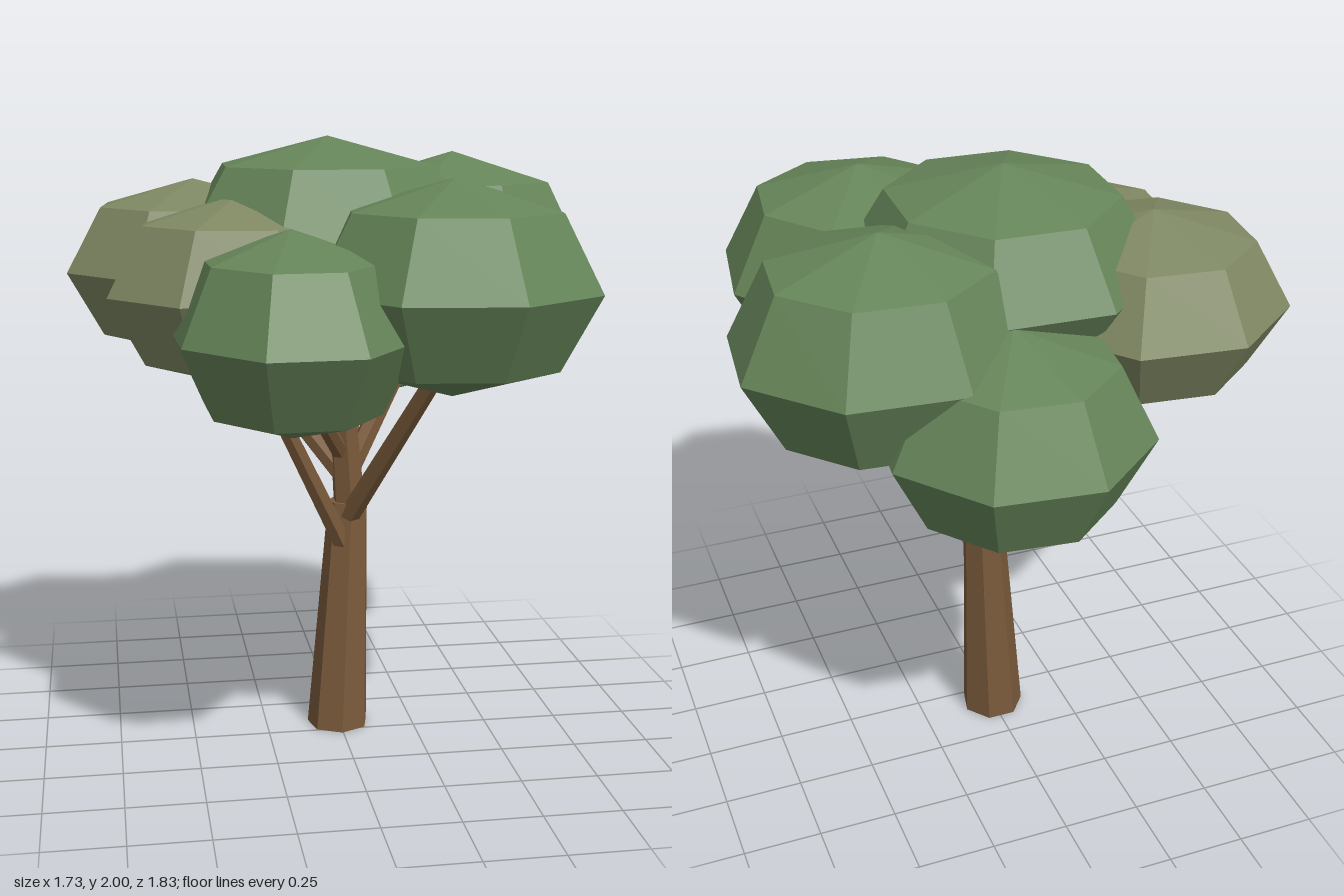
import * as THREE from 'three';

const bark = new THREE.MeshStandardMaterial({ color: 0x7a5a3b, flatShading: true });
const green = new THREE.MeshStandardMaterial({ color: 0x668559, flatShading: true });
const olive = new THREE.MeshStandardMaterial({ color: 0x7f8863, flatShading: true });

// Tapered limb running between two points
function limb(name, from, to, r0, r1, sides) {
  const a = new THREE.Vector3(...from), b = new THREE.Vector3(...to);
  const dir = b.clone().sub(a);
  const mesh = new THREE.Mesh(new THREE.CylinderGeometry(r1, r0, dir.length(), sides), bark);
  mesh.name = name;
  mesh.position.copy(a).add(b).multiplyScalar(0.5);
  mesh.quaternion.setFromUnitVectors(new THREE.Vector3(0, 1, 0), dir.normalize());
  return mesh;
}

// Faceted leaf clump: eight sides, four bands, turned about y then flattened
function clump(name, center, radii, turn, material) {
  const geo = new THREE.SphereGeometry(1, 8, 4);
  const pos = geo.attributes.position;
  for (let i = 0; i < pos.count; i++) {
    // fuller shoulders above and below the widest ring
    const k = Math.abs(Math.abs(pos.getY(i)) - 0.707) < 0.01 ? 1.03 : 1;
    pos.setXYZ(i, pos.getX(i) * k, pos.getY(i), pos.getZ(i) * k);
  }
  geo.rotateY(-THREE.MathUtils.degToRad(turn));
  geo.scale(...radii);
  geo.computeVertexNormals();
  const mesh = new THREE.Mesh(geo, material);
  mesh.name = name;
  mesh.position.set(...center);
  return mesh;
}

export function createModel() {
  const tree = new THREE.Group();
  tree.name = 'tree';

  // Trunk, leaning slightly, cut level with the ground
  const trunk = new THREE.CylinderGeometry(0.068, 0.105, 0.79, 7);
  trunk.translate(0, 0.395, 0);
  const p = trunk.attributes.position;
  for (let i = 0; i < p.count; i++) {
    const t = p.getY(i) / 0.79;
    p.setX(i, p.getX(i) - 0.003 + 0.038 * t);
    p.setZ(i, p.getZ(i) - 0.07 - 0.015 * t);
  }
  trunk.computeVertexNormals();
  const trunkMesh = new THREE.Mesh(trunk, bark);
  trunkMesh.name = 'trunk';
  tree.add(trunkMesh);

  // Branches: name, start, end, start radius, end radius
  const branches = new THREE.Group();
  branches.name = 'branches';
  [
    ['centreBranch', [0.04, 0.76, -0.085], [-0.02, 1.5, -0.045], 0.057, 0.035],
    ['frontLeftBranch', [0.03, 0.74, -0.05], [0.29, 1.36, 0.33], 0.035, 0.026],
    ['frontRightBranch', [0.01, 0.65, -0.05], [-0.3, 1.3, 0.1], 0.035, 0.026],
    ['frontBranch', [0.0, 0.97, -0.05], [-0.16, 1.24, 0.22], 0.03, 0.025],
    ['backRightBranch', [0.05, 0.83, -0.09], [-0.36, 1.36, -0.2], 0.035, 0.026],
    ['backLeftBranch', [0.03, 0.88, -0.08], [0.33, 1.4, -0.25], 0.037, 0.028],
    ['backBranch', [0.05, 0.73, -0.1], [0.1, 1.18, -0.44], 0.035, 0.026],
  ].forEach((b) => branches.add(limb(...b, 6)));
  tree.add(branches);

  // Leaf clumps: name, centre, radii, turn in degrees, material
  const crown = new THREE.Group();
  crown.name = 'crown';
  [
    ['topClump', [-0.04, 1.69, -0.05], [0.49, 0.31, 0.5], -20, green],
    ['frontLeftClump', [0.28, 1.56, 0.385], [0.46, 0.33, 0.46], -14, green],
    ['backLeftClump', [0.42, 1.6, -0.28], [0.46, 0.34, 0.42], -17, green],
    ['backClump', [0.1, 1.37, -0.5], [0.42, 0.32, 0.43], -16, green],
    ['backRightClump', [-0.46, 1.57, -0.22], [0.43, 0.29, 0.43], -16, olive],
    ['frontRightClump', [-0.34, 1.53, 0.12], [0.43, 0.3, 0.42], -16, olive],
    ['frontClump', [-0.22, 1.44, 0.45], [0.37, 0.31, 0.5], 20, green],
  ].forEach((c) => crown.add(clump(...c)));
  tree.add(crown);

  return tree;
}
